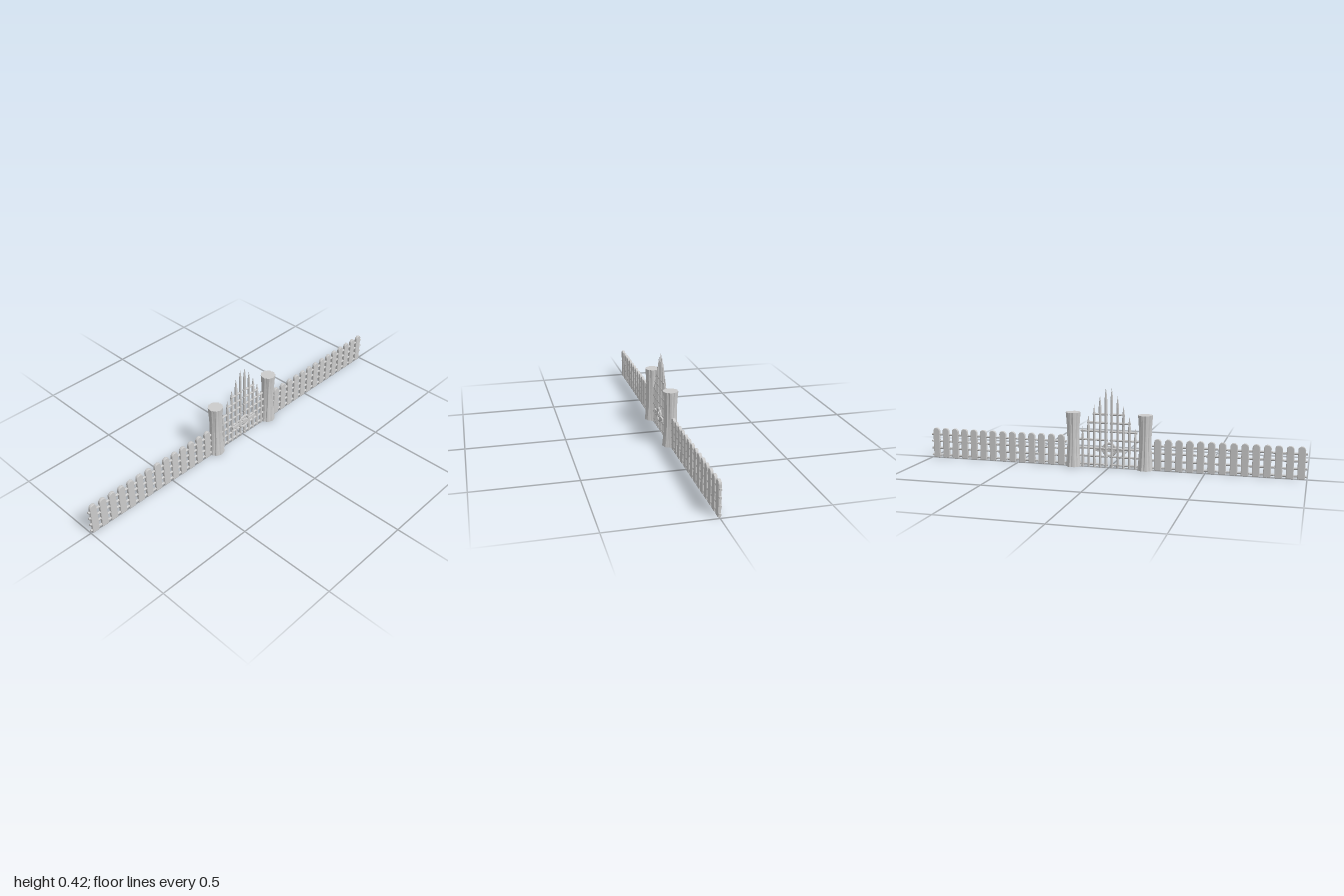
import * as THREE from 'three';

const material = new THREE.MeshStandardMaterial({ color: 0xcccccc, flatShading: true });

function add(parent, geometry, name, x = 0, y = 0, z = 0) {
  const mesh = new THREE.Mesh(geometry, material);
  mesh.name = name;
  mesh.position.set(x, y, z);
  parent.add(mesh);
  return mesh;
}

// Round bar lying along z
function barZ(length, radius, sides = 8) {
  return new THREE.CylinderGeometry(radius, radius, length, sides).rotateX(Math.PI / 2);
}

// Round-topped slat with softened edges, facing x
function picketGeometry(width, height, thickness) {
  const b = 0.003, r = width / 2 - b;
  const shape = new THREE.Shape();
  shape.moveTo(-r, b);
  shape.lineTo(r, b);
  shape.lineTo(r, height - b - r);
  shape.absarc(0, height - b - r, r, 0, Math.PI, false);
  shape.closePath();
  const geometry = new THREE.ExtrudeGeometry(shape, {
    depth: thickness - 2 * b, bevelEnabled: true, bevelSize: b, bevelThickness: b,
    bevelSegments: 2, curveSegments: 5,
  });
  return geometry.translate(0, 0, b - thickness / 2).rotateY(Math.PI / 2);
}

// Waisted trunk with fluted bark and flat ends
function postGeometry() {
  const height = 0.285, lobes = 9;
  const geometry = new THREE.CylinderGeometry(1, 1, height, lobes * 6, 8);
  geometry.translate(0, height / 2, 0);
  const p = geometry.attributes.position;
  for (let i = 0; i < p.count; i++) {
    const x = p.getX(i), y = p.getY(i), z = p.getZ(i);
    if (Math.hypot(x, z) < 0.5) continue;
    const a = Math.atan2(z, x);
    const t = (y - 0.155) / 0.145;
    const bark = 0.0022 * Math.abs(Math.cos(a * lobes / 2)) * 1.6
      + 0.0007 * Math.sin(a * 17 + y * 12);
    const r = 0.0285 + 0.0082 * t * t + bark;
    p.setXYZ(i, x * r, y, z * r);
  }
  geometry.computeVertexNormals();
  return geometry;
}

// Pointed stake of the gate
function spikeGeometry(height) {
  const r = 0.0072, shoulder = height - 0.06;
  return new THREE.LatheGeometry([
    [0, 0], [r, 0], [r, shoulder], [r * 0.65, shoulder + 0.028], [0, height],
  ].map(([x, y]) => new THREE.Vector2(x, y)), 8);
}

function fencePanel(name, centre) {
  const panel = new THREE.Group();
  panel.name = name;
  panel.position.z = centre;
  const picket = picketGeometry(0.037, 0.165, 0.015);
  for (let i = -3; i <= 3; i++) add(panel, picket, 'picket', 0, 0, i * 0.0548);
  const rail = barZ(0.385, 0.0062);
  for (const y of [0.015, 0.053, 0.091, 0.128]) add(panel, rail, 'fenceRail', 0, y);
  return panel;
}

export function createModel() {
  const model = new THREE.Group();
  model.name = 'fenceWithGate';

  // Two panels and a gate post on each side
  const post = postGeometry();
  for (const side of [-1, 1]) {
    const label = side > 0 ? 'front' : 'back';
    model.add(fencePanel(label + 'InnerPanel', side * 0.422));
    model.add(fencePanel(label + 'OuterPanel', side * 0.8075));
    add(model, post, label + 'GatePost', 0, 0, side * 0.192);
  }

  // Gate: stakes rising to the middle
  const gate = new THREE.Group();
  gate.name = 'gate';
  model.add(gate);
  [0.417, 0.378, 0.328, 0.275, 0.215].forEach((height, i) => {
    const spike = spikeGeometry(height);
    const z = 0.0155 + i * 0.0312;
    for (const side of [-1, 1]) add(gate, spike, 'gateStake', 0, 0, side * z);
  });

  // Gate rails, shorter towards the top, split between the two leaves
  const rails = [
    [0.015, 0.158], [0.058, 0.158], [0.1, 0.158], [0.145, 0.158],
    [0.19, 0.15], [0.235, 0.115], [0.28, 0.085],
  ];
  for (const [y, reach] of rails) {
    const bar = barZ(reach - 0.006, 0.0058);
    for (const side of [-1, 1]) add(gate, bar, 'gateRail', 0, y, side * (reach + 0.006) / 2);
  }

  // Latch: cross bar and ring on the +x face
  const latch = new THREE.Group();
  latch.name = 'latch';
  latch.position.set(0.011, 0.093, 0);
  gate.add(latch);
  add(latch, new THREE.BoxGeometry(0.008, 0.016, 0.17), 'latchBar', 0, -0.003, 0);
  const ring = new THREE.TorusGeometry(0.033, 0.0075, 6, 12).rotateY(Math.PI / 2);
  ring.scale(0.75, 1, 1);
  add(latch, ring, 'latchRing');
  const disc = new THREE.CylinderGeometry(0.013, 0.013, 0.012, 8).rotateZ(Math.PI / 2);
  add(latch, disc, 'latchBoss');

  return model;
}
